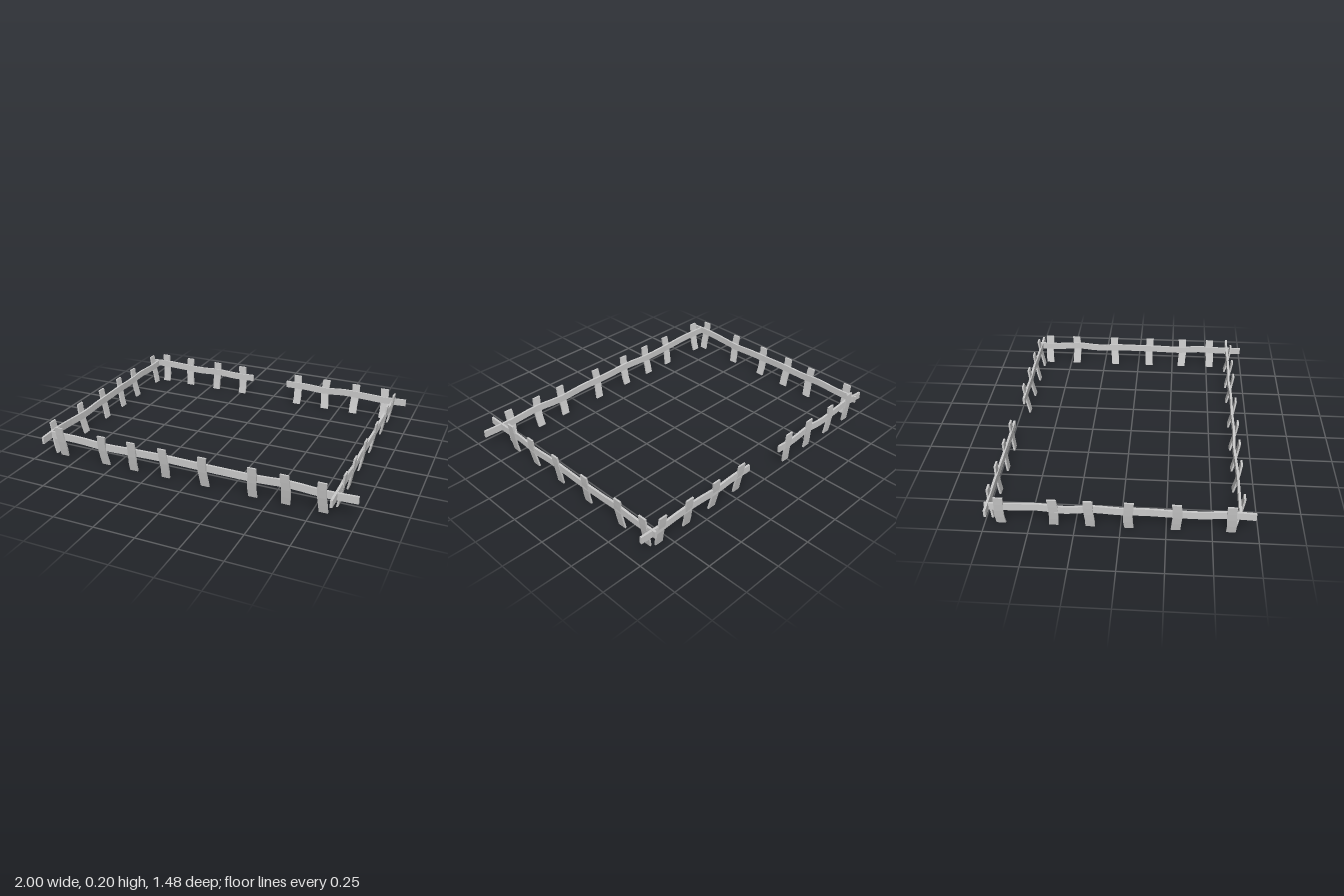
import * as THREE from 'three';

const mat = new THREE.MeshStandardMaterial({ color: 0xcccccc, flatShading: true });
const POST_H = 0.2, POST_W = 0.052, RAIL_H = 0.044, THICK = 0.014, RAIL_Y = 0.128;

// Each run: wall axis, wall position, rail ends, outward direction, lean (bottom, top offsets), posts,
// and rail bends as up and sideways offsets spread evenly along the rail.
const RUNS = [
  { name: 'frontFence', axis: 'x', at: 0.643, from: -0.93, to: 1, lean: [-0.013, 0.023],
    posts: [-0.855, -0.56, -0.36, -0.15, 0.1, 0.4, 0.595, 0.805],
    up: [0.004, 0.006, -0.004, -0.003, 0.004, 0, 0, -0.004, 0.007, -0.004, 0],
    side: [0, 0.002, 0.003, -0.004, 0.002, 0, 0.003, -0.004, 0, 0, 0] },
  { name: 'rightFence', axis: 'z', at: 0.877, from: -0.74, to: 0.74, lean: [-0.017, 0.012],
    posts: [-0.655, -0.455, -0.175, 0.08, 0.32, 0.52],
    up: [0, -0.003, 0.006, -0.004, 0, 0, 0, -0.005, 0.006, 0, 0],
    side: [0, 0, 0.002, -0.002, 0.002, 0, -0.002, 0.001, 0, 0, 0] },
  { name: 'leftFence', axis: 'z', at: -0.933, from: -0.74, to: 0.73, lean: [0.017, -0.017],
    posts: [-0.66, -0.365, -0.17, 0.045, 0.305, 0.6],
    up: [0, 0, 0.007, -0.003, 0.005, 0, 0, -0.006, -0.002, 0.006, 0],
    side: [0, 0.002, 0, -0.004, 0.003, 0, 0.003, 0.004, -0.003, 0, 0] },
  { name: 'backLeftFence', axis: 'x', at: -0.723, from: -1, to: -0.15, lean: [0.008, -0.006],
    posts: [-0.86, -0.66, -0.44, -0.235],
    up: [0, 0.007, 0.002, -0.005, 0.004, -0.004, 0],
    side: [0, 0.002, 0, -0.002, 0.002, -0.001, 0] },
  { name: 'backRightFence', axis: 'x', at: -0.714, from: 0.11, to: 0.96, lean: [0.022, -0.012],
    posts: [0.195, 0.4, 0.61, 0.815],
    up: [0, 0.002, -0.005, 0.005, 0.002, -0.004, 0],
    side: [0, 0.001, 0, -0.001, 0.001, 0, 0] },
];

// Moves every vertex of a geometry by a rule
function bend(geo, rule) {
  const p = geo.attributes.position, v = new THREE.Vector3();
  for (let i = 0; i < p.count; i++) {
    rule(v.fromBufferAttribute(p, i));
    p.setXYZ(i, v.x, v.y, v.z);
  }
  geo.computeVertexNormals();
  return geo;
}

// Wavy plank running along local x
function makeRail({ from, to, up, side }) {
  const len = to - from;
  const path = new THREE.CatmullRomCurve3(up.map((u, i) => new THREE.Vector3(i / (up.length - 1), u, side[i])));
  const geo = bend(new THREE.BoxGeometry(len, RAIL_H, THICK, 30, 1, 1), v => {
    const o = path.getPoint(Math.min(1, Math.max(0, v.x / len + 0.5)));
    v.y += o.y;
    v.z += o.z;
  });
  const mesh = new THREE.Mesh(geo, mat);
  mesh.name = 'rail';
  mesh.position.set((from + to) / 2, RAIL_Y, 0);
  return mesh;
}

// Leaning, slightly bowed board standing on the ground
function makePost(x, [bottom, top], i) {
  const geo = bend(new THREE.BoxGeometry(POST_W, POST_H, THICK * 0.8, 1, 4, 1), v => {
    const t = v.y / POST_H + 0.5;
    v.x += 0.004 * Math.sin(t * 5 + i * 2);
    v.z += bottom + (top - bottom) * t + 0.003 * Math.sin(t * Math.PI) * Math.sign(top - bottom);
  });
  const mesh = new THREE.Mesh(geo, mat);
  mesh.name = 'post';
  mesh.position.set(x, POST_H / 2, 0);
  return mesh;
}

export function createModel() {
  const fence = new THREE.Group();
  fence.name = 'fence';
  for (const r of RUNS) {
    const run = new THREE.Group();
    run.name = r.name;
    // Side walls turn a quarter, so local x becomes -z and local z becomes x
    const s = r.axis === 'z' ? -1 : 1;
    const ends = s < 0
      ? { from: -r.to, to: -r.from, up: [...r.up].reverse(), side: [...r.side].reverse() }
      : r;
    run.add(makeRail(ends));
    r.posts.forEach((p, i) => run.add(makePost(p * s, r.lean, i)));
    if (s < 0) {
      run.rotation.y = Math.PI / 2;
      run.position.x = r.at;
    } else run.position.z = r.at;
    fence.add(run);
  }
  return fence;
}
